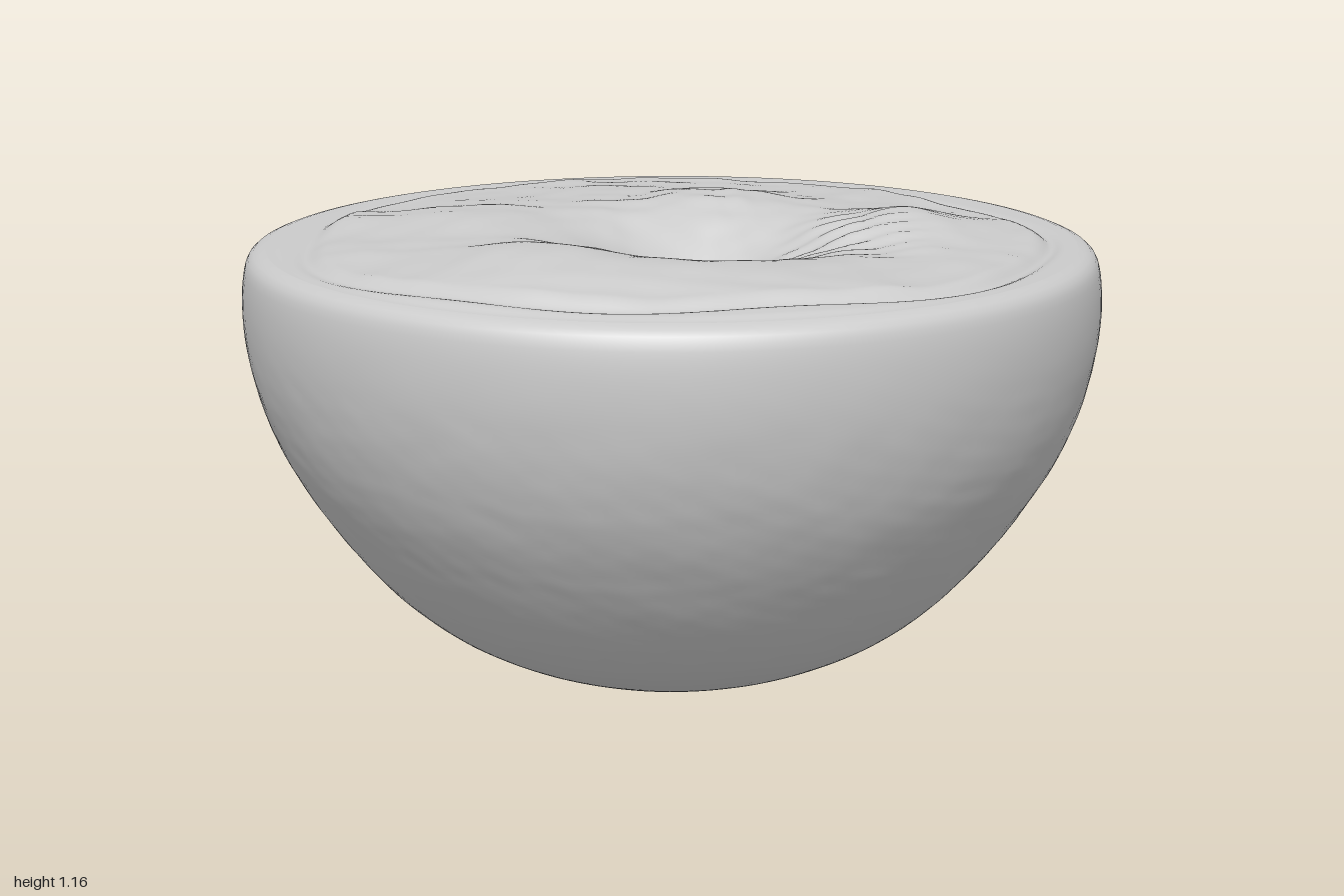
import * as THREE from 'three';
import { mergeVertices } from 'three/addons/utils/BufferGeometryUtils.js';

const SEGMENTS = 160;
const RIM = [0.94, 1.09];

// Smooth repeatable noise, roughly -1..1
function ripple(x, y, z, f) {
  return (
    Math.sin(f * (x + 0.6 * z) + 2.1 * Math.sin(f * 0.7 * y + 1.3)) *
      Math.cos(f * (z - 0.5 * x) + 1.7 * Math.sin(f * 0.6 * x)) +
    0.5 * Math.sin(1.9 * f * y + f * x) * Math.sin(1.7 * f * z + 0.8)
  ) / 1.5;
}

const bump = (x, z, cx, cz, size) =>
  Math.exp(-((x - cx) ** 2 + (z - cz) ** 2) / (2 * size * size));

// Slight forward rise of the cut plane, fading out towards the bottom
const tilt = (y, z) => 0.025 * z * Math.pow(Math.max(y, 0) / 1.1, 4);

// Revolve a profile, move each vertex by a rule and weld the seam
function revolve(points, rule) {
  const geo = new THREE.LatheGeometry(points, SEGMENTS);
  const pos = geo.attributes.position;
  const v = new THREE.Vector3();
  for (let i = 0; i < pos.count; i++) {
    v.fromBufferAttribute(pos, i);
    rule(v);
    pos.setXYZ(i, v.x, v.y, v.z);
  }
  geo.deleteAttribute('uv');
  geo.deleteAttribute('normal');
  const welded = mergeVertices(geo, 1e-5);
  welded.computeVertexNormals();
  return welded;
}

// Pitted outer skin with a rounded shoulder
function rindGeometry() {
  const profile = new THREE.CatmullRomCurve3([
    [0, 0.008], [0.07, 0.02], [0.18, 0.047], [0.32, 0.09], [0.45, 0.14],
    [0.57, 0.207], [0.68, 0.3], [0.78, 0.415], [0.86, 0.53], [0.92, 0.635],
    [0.965, 0.75], [0.99, 0.86], [0.998, 0.95], [0.993, 1.03],
    [0.982, 1.068], [0.965, 1.083], RIM,
  ].map(([r, y]) => new THREE.Vector3(r, y, 0)), false, 'centripetal');
  const points = profile.getSpacedPoints(110).map((p) => new THREE.Vector2(Math.max(p.x, 0), p.y));
  return revolve(points, (v) => {
    const fade = THREE.MathUtils.smoothstep(1.05 - v.y, 0, 0.4) *
      THREE.MathUtils.smoothstep(Math.hypot(v.x, v.z), 0.02, 0.25);
    const k = 1 + fade * (0.002 * ripple(v.x, v.y, v.z, 13) + 0.0012 * ripple(v.z, 1.6 * v.y, v.x, 31));
    v.x *= k;
    v.z *= k;
    v.y += tilt(v.y, v.z);
  });
}

// Height of the uneven cut face above the rim
function fleshHeight(x, z) {
  const r = Math.hypot(x, z);
  const a = Math.atan2(z, x);
  // wavy border where the flesh meets the pale edge band
  const edge = 0.86 + 0.018 * Math.sin(3 * a + 0.6) + 0.012 * Math.sin(7 * a + 2);
  const inside = 1 - THREE.MathUtils.smoothstep(r, edge - 0.05, edge);
  const dome = 1 - THREE.MathUtils.smoothstep(r, 0.3, 0.9);
  const groove = Math.exp(-(((r - edge) / 0.018) ** 2)) * (0.6 + 0.4 * Math.cos(a - 0.7));
  let h = 0.012 * inside + 0.022 * dome - 0.01 * groove;
  // broad swells
  h += 0.045 * bump(x, z, -0.28, 0.5, 0.19);
  h += 0.028 * bump(x, z, 0.15, 0.58, 0.2);
  h += 0.042 * bump(x, z, 0.54, -0.02, 0.13);
  h += 0.032 * bump(x, z, 0.1, -0.26, 0.16);
  h += 0.022 * bump(x, z, -0.45, -0.1, 0.2);
  // central hollow, steeper at the back and on the left
  h -= 0.06 * bump(x, z, 0.08, 0.12, 0.22);
  h -= 0.1 * bump(x, z, 0.08, 0.07, 0.12);
  // lumps and torn fibres
  h += inside * (0.006 * ripple(x, 0.3, z, 9) + 0.0035 * ripple(z, 0.7, x, 21));
  h += 0.011 * bump(x, z, 0.38, 0.08, 0.13) * ripple(x * 0.6, 0.2, z * 1.5, 38);
  h += 0.005 * bump(x, z, 0.1, -0.3, 0.2) * ripple(x, 0.5, z, 34);
  return h * (1 - THREE.MathUtils.smoothstep(r, 0.9, RIM[0]));
}

function fleshGeometry() {
  const rings = 120;
  const points = [];
  for (let i = 0; i <= rings; i++) {
    points.push(new THREE.Vector2(RIM[0] * (1 - i / rings), RIM[1]));
  }
  return revolve(points, (v) => {
    v.y += tilt(v.y, v.z) + fleshHeight(v.x, v.z);
  });
}

export function createModel() {
  const group = new THREE.Group();
  group.name = 'halvedFruit';
  const material = new THREE.MeshStandardMaterial({ color: 0xcccccc });
  const parts = { rind: rindGeometry(), cutFlesh: fleshGeometry() };
  for (const [name, geometry] of Object.entries(parts)) {
    const mesh = new THREE.Mesh(geometry, material);
    mesh.name = name;
    group.add(mesh);
  }
  return group;
}
